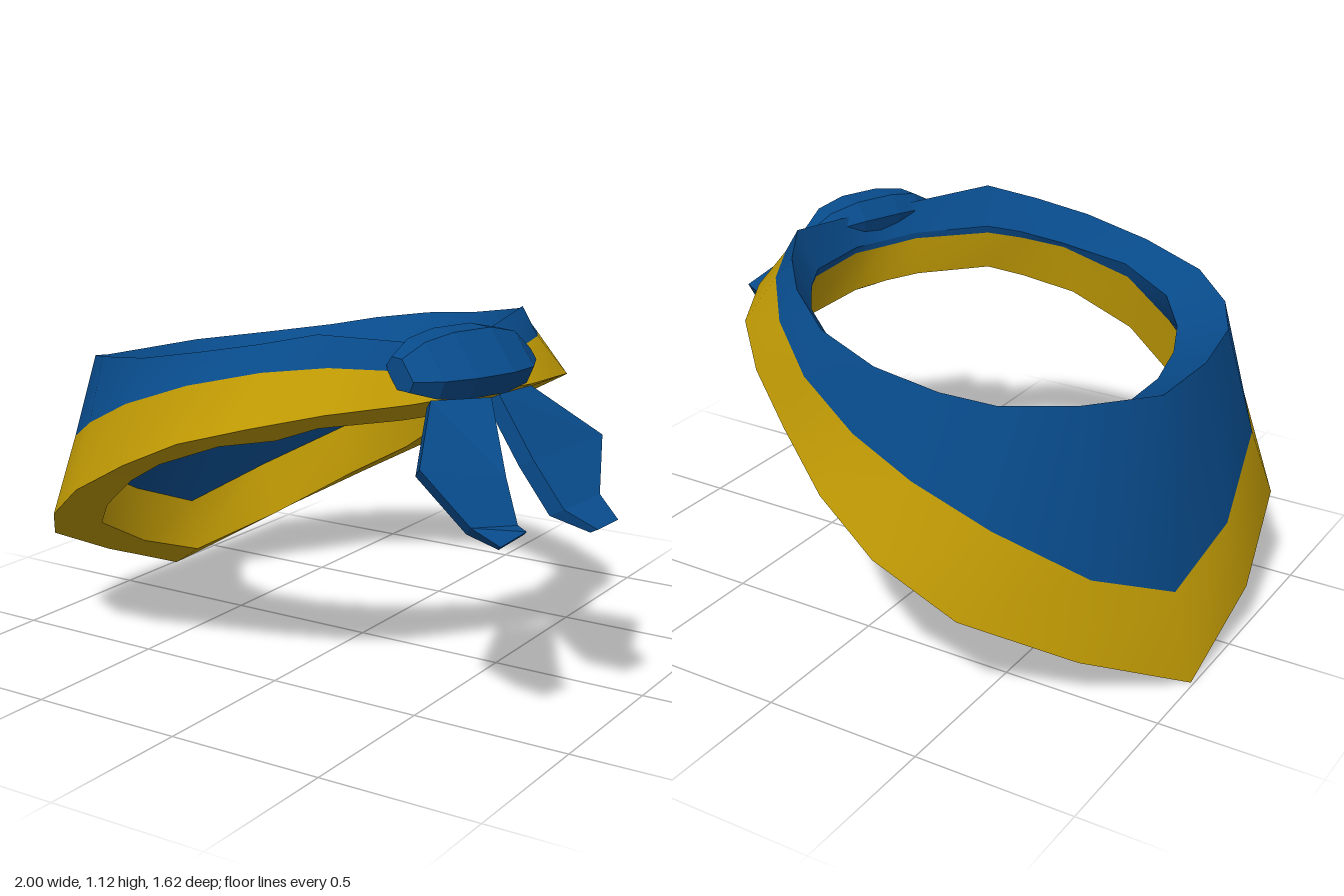
import * as THREE from 'three';

const blue = new THREE.MeshStandardMaterial({ color: 0x084b8b, side: THREE.DoubleSide });
blue.name = 'blue cloth';
const gold = new THREE.MeshStandardMaterial({ color: 0xc09a04, side: THREE.DoubleSide });
gold.name = 'gold trim';

// The scarf is symmetric about a vertical plane through the tip and the knot.
// Local u runs from tip to knot, v runs sideways.
const COS = Math.cos(0.34), SIN = Math.sin(0.34);
const place = (u, y, v) => [-0.19 + u * COS - v * SIN, y, 0.025 + u * SIN + v * COS];

// Half rings from the hanging tip round to the knot: [u, y, v]
const hem = [[-.85, 0, 0], [-.735, .15, .35], [-.55, .31, .65], [-.32, .45, .77], [-.11, .58, .80],
  [.12, .70, .765], [.34, .80, .715], [.555, .87, .615], [.705, .915, .465], [.80, .93, .23], [.82, .935, 0]];
const outerSeam = [[-.765, .27, 0], [-.70, .38, .28], [-.555, .56, .53], [-.36, .68, .66], [-.16, .77, .715],
  [.07, .87, .72], [.30, .955, .65], [.50, 1.01, .53], [.64, 1.03, .40], [.735, 1.01, .20], [.75, 1.0, 0]];
const ridge = [[-.675, .87, 0], [-.60, .88, .25], [-.49, .90, .46], [-.37, .93, .57], [-.18, .965, .65],
  [.07, 1.0, .655], [.29, 1.045, .59], [.45, 1.08, .50], [.58, 1.115, .39], [.68, 1.08, .15], [.70, 1.07, 0]];
const neck = [[-.535, .80, 0], [-.465, .80, .19], [-.38, .82, .34], [-.285, .85, .45], [-.125, .88, .56],
  [.10, .92, .59], [.335, .95, .51], [.45, .975, .43], [.53, .99, .35], [.64, .985, .12], [.65, .98, 0]];
const innerSeam = [[-.73, .265, 0], [-.66, .375, .27], [-.49, .515, .515], [-.30, .645, .595], [-.10, .77, .61],
  [.10, .87, .605], [.335, .93, .525], [.455, .95, .44], [.535, .965, .355], [.64, .965, .125], [.65, .96, 0]];
const innerHem = [[-.70, .09, 0], [-.60, .20, .28], [-.455, .345, .525], [-.25, .47, .615], [-.07, .59, .63],
  [.11, .68, .635], [.32, .765, .56], [.48, .80, .47], [.55, .835, .37], [.635, .84, .13], [.645, .84, 0]];

// Mirror a half ring into a closed loop
function fullRing(half) {
  const other = half.slice(1, -1).reverse().map(([u, y, v]) => [u, y, -v]);
  return [...half, ...other].map(p => place(...p));
}

// Smooth closed band running through several rings
function band(name, rings, material) {
  const loops = rings.map(fullRing), n = loops[0].length, index = [];
  for (let r = 0; r < loops.length - 1; r++) {
    for (let i = 0; i < n; i++) {
      const j = (i + 1) % n, a = r * n, b = a + n;
      index.push(a + i, a + j, b + j, a + i, b + j, b + i);
    }
  }
  const geo = new THREE.BufferGeometry();
  geo.setAttribute('position', new THREE.Float32BufferAttribute(loops.flat(2), 3));
  geo.setIndex(index);
  geo.computeVertexNormals();
  const mesh = new THREE.Mesh(geo, material);
  mesh.name = name;
  return mesh;
}

// Faceted closed solid through a row of cross-sections, turned outward by its volume
function loft(name, sections, material) {
  const n = sections[0].length, last = sections.length - 1, tris = [];
  for (let s = 0; s < last; s++) {
    for (let i = 0; i < n; i++) {
      const j = (i + 1) % n, A = sections[s], B = sections[s + 1];
      tris.push([A[i], A[j], B[j]], [A[i], B[j], B[i]]);
    }
  }
  for (let i = 1; i < n - 1; i++) {
    const A = sections[0], B = sections[last];
    tris.push([A[0], A[i + 1], A[i]], [B[0], B[i], B[i + 1]]);
  }
  const vec = p => new THREE.Vector3(...p);
  const volume = tris.reduce((sum, [a, b, c]) => sum + vec(a).dot(vec(b).cross(vec(c))), 0);
  if (volume < 0) tris.forEach(t => t.reverse());
  const geo = new THREE.BufferGeometry();
  geo.setAttribute('position', new THREE.Float32BufferAttribute(tris.flat(2), 3));
  geo.computeVertexNormals();
  const mesh = new THREE.Mesh(geo, material);
  mesh.name = name;
  return mesh;
}

// Knot: one hexagonal profile shrinking toward both ends
function knot() {
  const profile = [[.69, .935], [.655, 1.06], [.70, 1.115], [.79, 1.115], [.895, 1.0], [.86, .935]];
  const stations = [[-.25, .25], [-.17, .8], [-.07, 1], [.07, 1], [.17, .85], [.245, .5]];
  const sections = stations.map(([v, k]) => profile.map(([u, y]) =>
    place(.76 + (u - .76) * k, 1.0 + (y - 1.0) * k, v)));
  return loft('knot', sections, blue);
}

// Tail: each row gives the two outer edge points and the cloth thickness along the inset direction
function tail(name, inset, rows) {
  const sections = rows.map(([a, b, t]) => {
    const inward = p => p.map((value, i) => value + inset[i] * t);
    return [a, b, inward(b), inward(a)];
  });
  return loft(name, sections, blue);
}

export function createModel() {
  const group = new THREE.Group();
  group.name = 'neckerchief';
  group.add(
    band('outerCloth', [outerSeam, ridge], blue),
    band('innerRim', [ridge, neck], blue),
    band('innerCloth', [neck, innerSeam], blue),
    band('outerTrim', [hem, outerSeam], gold),
    band('innerTrim', [innerSeam, innerHem], gold),
    band('undersideTrim', [innerHem, hem], gold),
    knot(),
    tail('frontTail', [-.5, -.5, -.5], [
      [[.55, .95, .51], [.67, .95, .38], .06],
      [[.635, .81, .71], [.78, .76, .49], .06],
      [[.78, .665, .685], [.85, .65, .55], .06],
      [[.86, .62, .665], [.89, .645, .575], .025],
    ]),
    tail('sideTail', [-.75, -.4, 0], [
      [[.67, .95, .335], [.69, .95, .18], .06],
      [[.79, .78, .35], [.86, .80, .05], .06],
      [[.89, .65, .35], [.925, .665, .195], .06],
      [[.98, .60, .32], [1.0, .61, .23], .03],
    ]),
  );
  return group;
}
